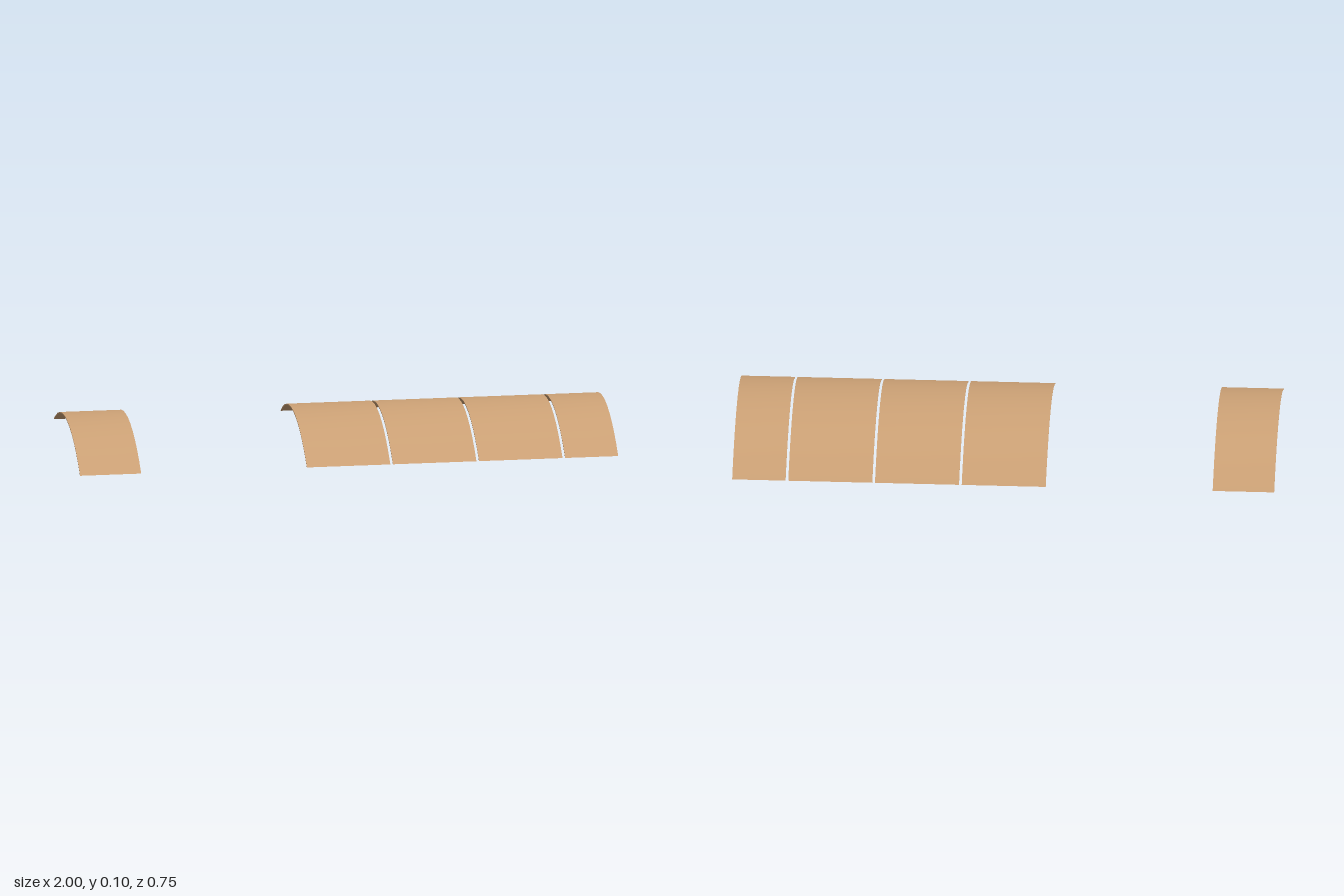
import * as THREE from 'three';
import { toCreasedNormals } from 'three/addons/utils/BufferGeometryUtils.js';

const HALF_WIDTH = 0.377, HEIGHT = 0.105, THICKNESS = 0.004;
const RADIUS = (HALF_WIDTH ** 2 + HEIGHT ** 2) / (2 * HEIGHT);

// Points of a shallow arc, cut off level at the ground
function arcPoints(radius, segments = 12) {
  const centreY = HEIGHT - RADIUS;
  const half = Math.acos(-centreY / radius);
  return Array.from({ length: segments + 1 }, (_, i) => {
    const a = -half + (2 * half * i) / segments;
    return new THREE.Vector2(radius * Math.sin(a), centreY + radius * Math.cos(a));
  });
}

// Thin curved panel running along x
function createPanel(x0, x1, material) {
  const outline = [...arcPoints(RADIUS), ...arcPoints(RADIUS - THICKNESS).reverse()];
  const extruded = new THREE.ExtrudeGeometry(new THREE.Shape(outline), {
    depth: x1 - x0, bevelEnabled: false,
  });
  extruded.rotateY(Math.PI / 2).translate(x0, 0, 0);
  return new THREE.Mesh(toCreasedNormals(extruded, 0.4), material);
}

export function createModel() {
  const group = new THREE.Group();
  group.name = 'curvedPanels';
  const wood = new THREE.MeshStandardMaterial({ color: 0xd2a679 });

  // One detached end panel, three full panels and a cut end panel
  const spans = [
    ['detachedPanel', -1, -0.773],
    ['fullPanel1', -0.157, 0.153],
    ['fullPanel2', 0.163, 0.473],
    ['fullPanel3', 0.483, 0.793],
    ['endPanel', 0.803, 1],
  ];
  for (const [name, x0, x1] of spans) {
    const panel = createPanel(x0, x1, wood);
    panel.name = name;
    group.add(panel);
  }
  return group;
}
